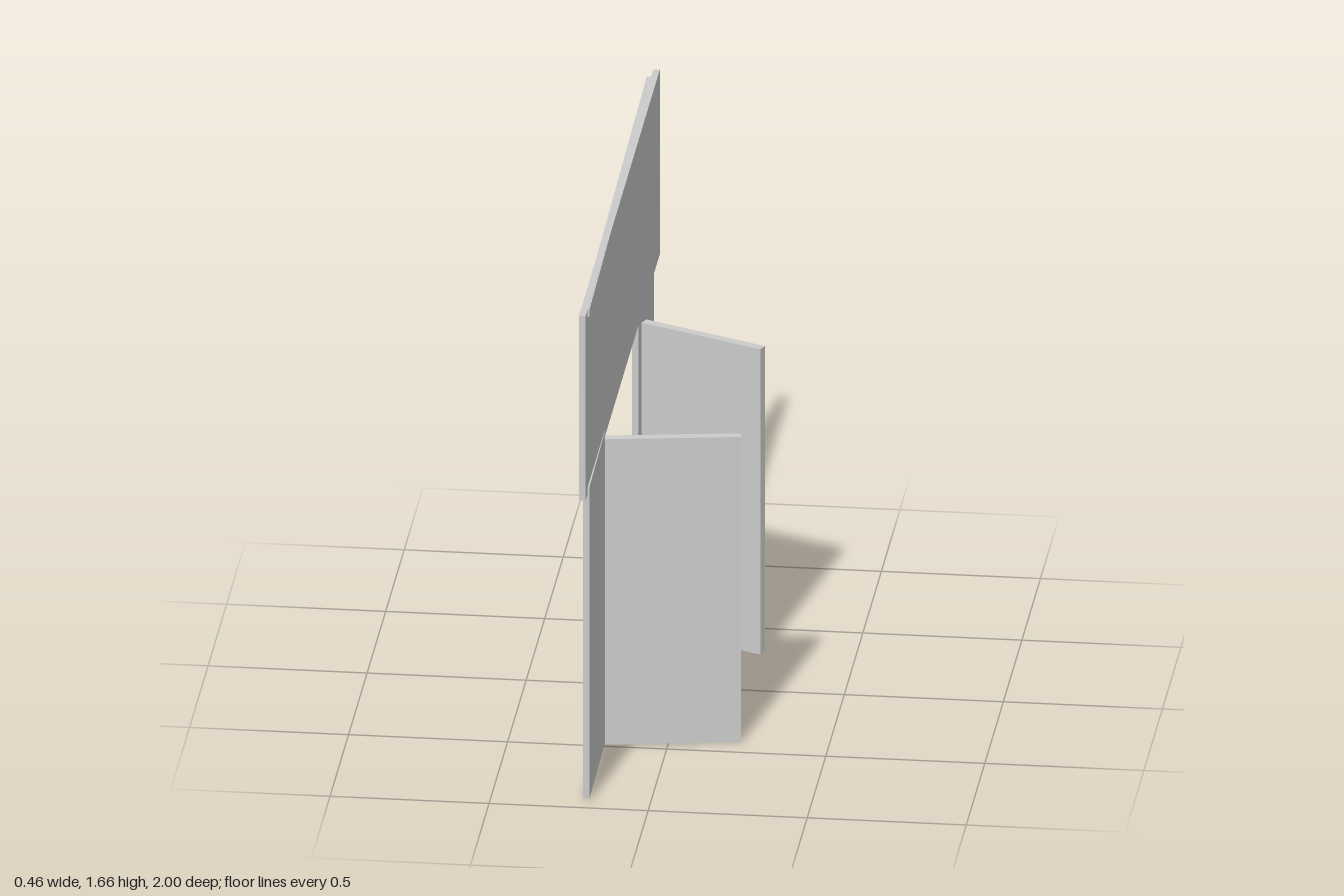
import * as THREE from 'three';

export function createModel() {
  const model = new THREE.Group();
  const material = new THREE.MeshStandardMaterial({ color: 0xcccccc, flatShading: true });

  // Box spanning y0..y1, centred on x, z
  const slab = (parent, name, width, depth, y0, y1, x, z) => {
    const mesh = new THREE.Mesh(new THREE.BoxGeometry(width, y1 - y0, depth), material);
    mesh.name = name;
    mesh.position.set(x, (y0 + y1) / 2, z);
    parent.add(mesh);
    return mesh;
  };

  // Wide board over the doorway
  slab(model, 'headerBoard', 0.021, 2, 1.04, 1.665, -0.207, 0);

  // Wall frame, turned very slightly so it slips through the board
  const frame = new THREE.Group();
  frame.name = 'wallFrame';
  frame.position.x = -0.21;
  frame.rotation.y = 0.009;
  model.add(frame);
  slab(frame, 'topRail', 0.023, 1.886, 1.638, 1.664, -0.001, 0);
  for (const side of [1, -1]) {
    slab(frame, side > 0 ? 'frontWall' : 'rearWall', 0.021, 0.455, 0.008, 1.063, 0, side * 0.716);
  }

  // Open doors, each running from its hinge [x, z] to its free edge [x, z]
  const door = (name, [hx, hz], [fx, fz]) => {
    const length = Math.hypot(fx - hx, fz - hz);
    const mesh = slab(model, name, length, 0.03, 0, 1.034, (hx + fx) / 2, (hz + fz) / 2);
    mesh.rotation.y = -Math.atan2(fz - hz, fx - hx);
  };
  door('frontDoor', [-0.216, 0.475], [0.222, 0.404]);
  door('rearDoor', [-0.185, -0.474], [0.208, -0.304]);

  return model;
}
